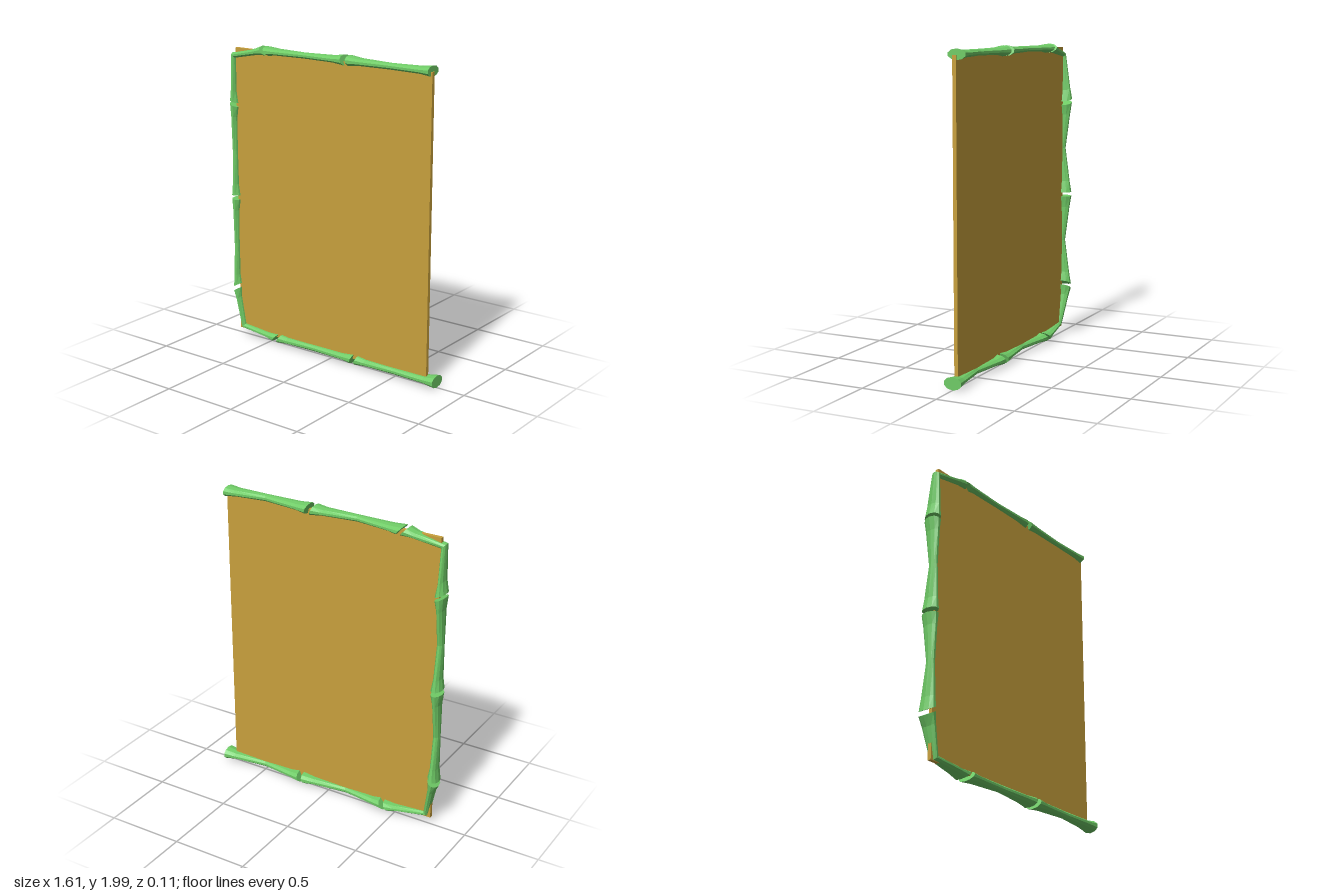
import * as THREE from 'three';

const SIDES = 10;
const green = new THREE.MeshStandardMaterial({ color: 0x6fcb66, flatShading: true });
const tan = new THREE.MeshStandardMaterial({ color: 0xc8a03c, flatShading: true });

// A ring is [outerX, outerY, innerX, innerY]; its depth range runs from back to front.
function ring([ox, oy, ix, iy], back, front) {
  return {
    c: new THREE.Vector3((ox + ix) / 2, (oy + iy) / 2, (back + front) / 2),
    u: new THREE.Vector3((ox - ix) / 2, (oy - iy) / 2, 0),
    h: (front - back) / 2,
  };
}

// Ring just inside a flared end: in-plane width has nearly reached the waist.
function neck(end, mid) {
  const c = end.c.clone().lerp(mid.c, 0.25);
  return { c, u: end.u.clone().lerp(mid.u, 0.8), h: THREE.MathUtils.lerp(end.h, mid.h, 0.3) };
}

// One bamboo internode: flared slanted ends, narrow waist (or bend) between them.
function internode(start, waist, end) {
  const a = ring(start, -0.06, 0.06);
  const m = ring(waist, -0.015, 0.046);
  const b = ring(end, -0.06, 0.06);
  const rings = [a, neck(a, m), m, neck(b, m), b];
  const point = (r, k) => {
    const t = (k / SIDES) * Math.PI * 2;
    return r.c.clone().addScaledVector(r.u, Math.cos(t)).add(new THREE.Vector3(0, 0, r.h * Math.sin(t)));
  };
  const pts = [];
  for (let k = 0; k < SIDES; k++) {
    for (let i = 0; i < rings.length - 1; i++) {
      const p = point(rings[i], k), q = point(rings[i], k + 1);
      const r = point(rings[i + 1], k), s = point(rings[i + 1], k + 1);
      pts.push(p, r, q, q, r, s);
    }
    // End caps
    pts.push(a.c, point(a, k), point(a, k + 1));
    pts.push(b.c, point(b, k + 1), point(b, k));
  }
  const geo = new THREE.BufferGeometry().setFromPoints(pts);
  geo.computeVertexNormals();
  return new THREE.Mesh(geo, green);
}

export function createModel() {
  const group = new THREE.Group();

  // Flat panel
  const panel = new THREE.Mesh(new THREE.BoxGeometry(1.495, 1.91, 0.024), tan);
  panel.position.set(-0.0075, 1.005, 0.011);
  panel.name = 'panel';
  group.add(panel);

  // Bamboo frame, followed from the top rail around the side to the bottom rail
  const frame = new THREE.Group();
  frame.name = 'bambooFrame';
  const parts = [
    ['topRailEnd', [0.73, 1.997, 0.73, 1.93], [0.45, 1.985, 0.45, 1.943], [0.13, 1.997, 0.147, 1.93]],
    ['topRailMiddle', [0.09, 1.997, 0.113, 1.93], [-0.2, 1.982, -0.2, 1.943], [-0.52, 1.988, -0.47, 1.93]],
    ['topCorner', [-0.55, 1.988, -0.5, 1.93], [-0.785, 1.925, -0.752, 1.893], [-0.805, 1.625, -0.735, 1.597]],
    ['sideRailUpper', [-0.805, 1.603, -0.735, 1.572], [-0.791, 1.28, -0.75, 1.28], [-0.805, 0.985, -0.732, 0.98]],
    ['sideRailLower', [-0.805, 0.957, -0.732, 0.952], [-0.791, 0.65, -0.75, 0.65], [-0.805, 0.335, -0.735, 0.372]],
    ['bottomCorner', [-0.805, 0.305, -0.735, 0.345], [-0.735, 0.055, -0.705, 0.087], [-0.475, 0.015, -0.425, 0.075]],
    ['bottomRailMiddle', [-0.437, 0.013, -0.395, 0.08], [-0.13, 0.026, -0.13, 0.07], [0.167, 0.012, 0.192, 0.082]],
    ['bottomRailEnd', [0.2, 0.012, 0.226, 0.082], [0.5, 0.024, 0.5, 0.068], [0.805, 0.005, 0.805, 0.085]],
  ];
  for (const [name, start, waist, end] of parts) {
    const mesh = internode(start, waist, end);
    mesh.name = name;
    frame.add(mesh);
  }
  group.add(frame);
  return group;
}
